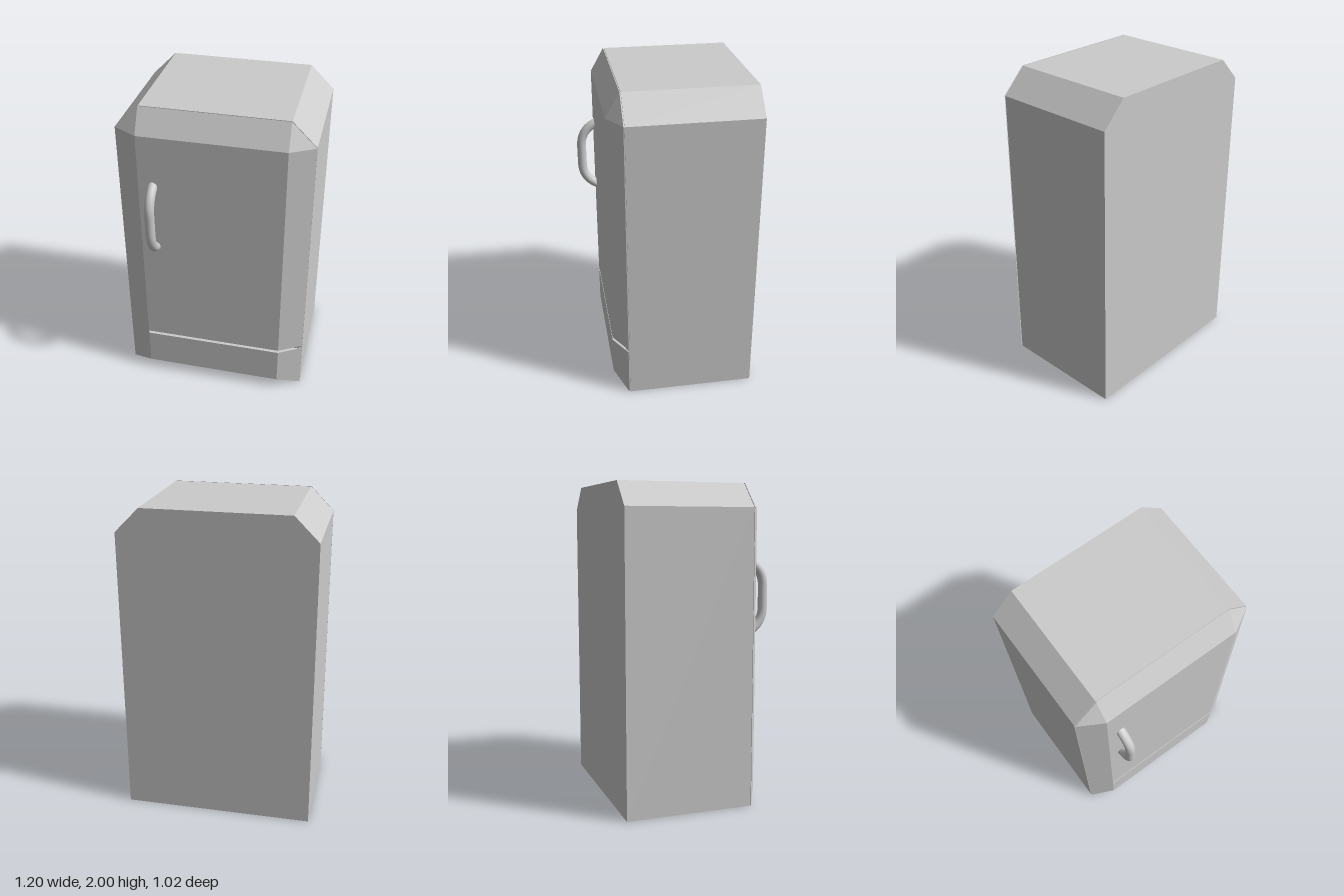
import * as THREE from 'three';
import { ConvexGeometry } from 'three/addons/geometries/ConvexGeometry.js';

const BACK = -0.51, SEAM = 0.293, DOOR = 0.3, FRONT = 0.385;
const W = 0.6, FACE = 0.45, SHOULDER = 1.85, TOP = 2;
const GAP_LOW = 0.32, GAP_HIGH = 0.34;

export function createModel() {
  const group = new THREE.Group();
  const flat = new THREE.MeshStandardMaterial({ color: 0xcccccc, flatShading: true });
  const smooth = new THREE.MeshStandardMaterial({ color: 0xcccccc });

  const add = (name, geometry, material = flat) => {
    const mesh = new THREE.Mesh(geometry, material);
    mesh.name = name;
    group.add(mesh);
    return mesh;
  };

  // Cabinet outline with chamfered shoulders, optionally inset
  const slab = (z0, z1, inset = 0) => {
    const w = W - inset, f = FACE - inset / 2, s = SHOULDER - inset / 2, t = TOP - inset;
    const shape = new THREE.Shape([
      [-w, inset], [w, inset], [w, s], [f, t], [-f, t], [-w, s],
    ].map(([x, y]) => new THREE.Vector2(x, y)));
    const geometry = new THREE.ExtrudeGeometry(shape, { depth: z1 - z0, bevelEnabled: false });
    return geometry.translate(0, 0, z0);
  };

  // Convex solid whose corners are mirrored left to right
  const mirrored = (points) => new ConvexGeometry(points.flatMap(([x, y, z]) => [
    new THREE.Vector3(x, y, z), new THREE.Vector3(-x, y, z),
  ]));

  add('cabinet', slab(BACK, SEAM));
  add('doorSeal', slab(SEAM, DOOR, 0.006));

  // Faceted door, tapering from the full outline to a narrower face
  add('door', mirrored([
    [W, GAP_HIGH, DOOR], [W, SHOULDER, DOOR], [FACE, TOP, DOOR],
    [FACE, GAP_HIGH, FRONT], [FACE, SHOULDER, FRONT],
  ]));
  add('kickPanel', mirrored([
    [W, 0, DOOR], [W, GAP_LOW, DOOR],
    [FACE, 0.07, FRONT], [FACE, GAP_LOW, FRONT],
  ]));

  // Groove between door and kick panel: recessed floor, closed at one end
  const floor = new THREE.BoxGeometry(1.16, GAP_HIGH - GAP_LOW, 0.011);
  add('grooveFloor', floor).position.set(0, (GAP_LOW + GAP_HIGH) / 2, DOOR + 0.0055);
  add('grooveEnd', new ConvexGeometry([GAP_LOW, GAP_HIGH].flatMap((y) => [
    new THREE.Vector3(-W, y, DOOR), new THREE.Vector3(-FACE, y, DOOR),
    new THREE.Vector3(-FACE, y, FRONT),
  ])));

  // Bowed tubular handle
  const p = (y, z) => new THREE.Vector3(-0.36, y, z);
  const path = new THREE.CurvePath();
  path.add(new THREE.QuadraticBezierCurve3(p(1.522, 0.37), p(1.475, 0.476), p(1.36, 0.476)));
  path.add(new THREE.LineCurve3(p(1.36, 0.476), p(1.23, 0.476)));
  path.add(new THREE.QuadraticBezierCurve3(p(1.23, 0.476), p(1.115, 0.476), p(1.068, 0.37)));
  add('handle', new THREE.TubeGeometry(path, 48, 0.03, 20, false), smooth);

  return group;
}
